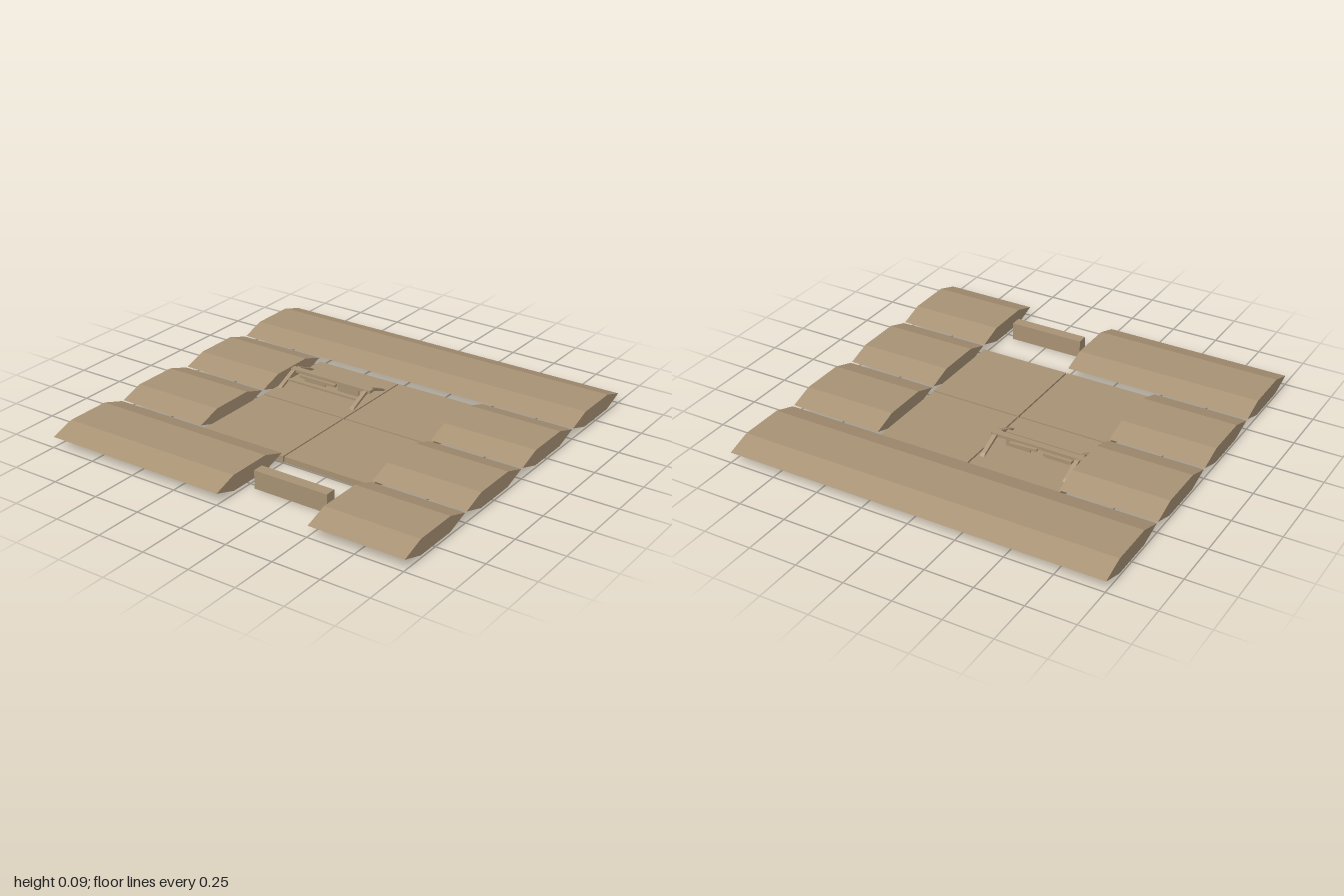
import * as THREE from 'three';

const tan = new THREE.MeshStandardMaterial({ color: 0xa89274 });
tan.name = 'tan';

function add(parent, name, geometry) {
  const mesh = new THREE.Mesh(geometry, tan);
  mesh.name = name;
  parent.add(mesh);
  return mesh;
}

// Box given by its lower and upper corners
function box(parent, name, x0, x1, y0, y1, z0, z1) {
  const mesh = add(parent, name, new THREE.BoxGeometry(x1 - x0, y1 - y0, z1 - z0));
  mesh.position.set((x0 + x1) / 2, (y0 + y1) / 2, (z0 + z1) / 2);
  return mesh;
}

// Outline of (z, y) points, extruded along x from x0 to x1
function prism(parent, name, points, x0, x1, z) {
  const shape = new THREE.Shape(points.map(([pz, py]) => new THREE.Vector2(-pz, py)));
  const geometry = new THREE.ExtrudeGeometry(shape, { depth: x1 - x0, bevelEnabled: false });
  geometry.rotateY(Math.PI / 2);
  const mesh = add(parent, name, geometry);
  mesh.position.set(x0, 0, z);
  return mesh;
}

export function createModel() {
  const model = new THREE.Group();
  model.name = 'walledYard';

  // Surrounding walls with a six-sided section
  const section = [
    [0.244, 0.054], [0.119, 0.095], [-0.119, 0.095],
    [-0.244, 0.054], [-0.119, 0.014], [0.119, 0.014],
  ];
  const walls = [
    ['backWall', -1, 1, -0.751],
    ['rightBackWall', -1, -0.5, -0.251],
    ['leftBackWall', 0.5, 1, -0.251],
    ['rightFrontWall', -1, -0.5, 0.249],
    ['leftFrontWall', 0.5, 1, 0.249],
    ['frontWallRight', -1, -0.003, 0.749],
    ['frontWallLeft', 0.5, 1, 0.749],
  ];
  for (const [name, x0, x1, z] of walls) prism(model, name, section, x0, x1, z);

  // Four floor slabs with narrow gaps
  for (const x of [-0.25, 0.25]) {
    for (const z of [-0.251, 0.249]) {
      box(model, 'floorSlab', x - 0.246, x + 0.246, 0, 0.032, z - 0.245, z + 0.245);
    }
  }

  // Gate standing in the front opening
  box(model, 'gate', 0.045, 0.45, 0, 0.095, 0.72, 0.778);

  // Small trestle on the back right slab
  const trestle = new THREE.Group();
  trestle.name = 'trestle';
  model.add(trestle);

  // Bent end legs, wide feet under a raised middle
  const leg = [
    [-0.146, 0.032], [-0.125, 0.032], [-0.025, 0.072], [0.025, 0.072],
    [0.125, 0.032], [0.146, 0.032], [0.13, 0.043], [0.03, 0.087],
    [-0.03, 0.087], [-0.13, 0.043],
  ];
  for (const x of [-0.475, -0.028]) prism(trestle, 'endLeg', leg, x - 0.011, x + 0.011, -0.253);

  // Rails and the loose pieces along them
  box(trestle, 'topBeam', -0.497, -0.004, 0.074, 0.09, -0.27, -0.236);
  box(trestle, 'frontRail', -0.466, -0.037, 0.052, 0.062, -0.19, -0.168);
  box(trestle, 'backPlank', -0.45, -0.3, 0.06, 0.074, -0.289, -0.262);
  box(trestle, 'frontPlank', -0.43, -0.21, 0.06, 0.074, -0.242, -0.22);
  box(trestle, 'hangingPanel', -0.42, -0.29, 0.032, 0.074, -0.258, -0.248);
  box(trestle, 'hangingPanel', -0.21, -0.08, 0.032, 0.074, -0.258, -0.248);
  const tilted = box(trestle, 'tiltedPlank', -0.26, -0.115, 0.066, 0.078, -0.29, -0.27);
  tilted.rotation.y = 0.08;

  return model;
}
